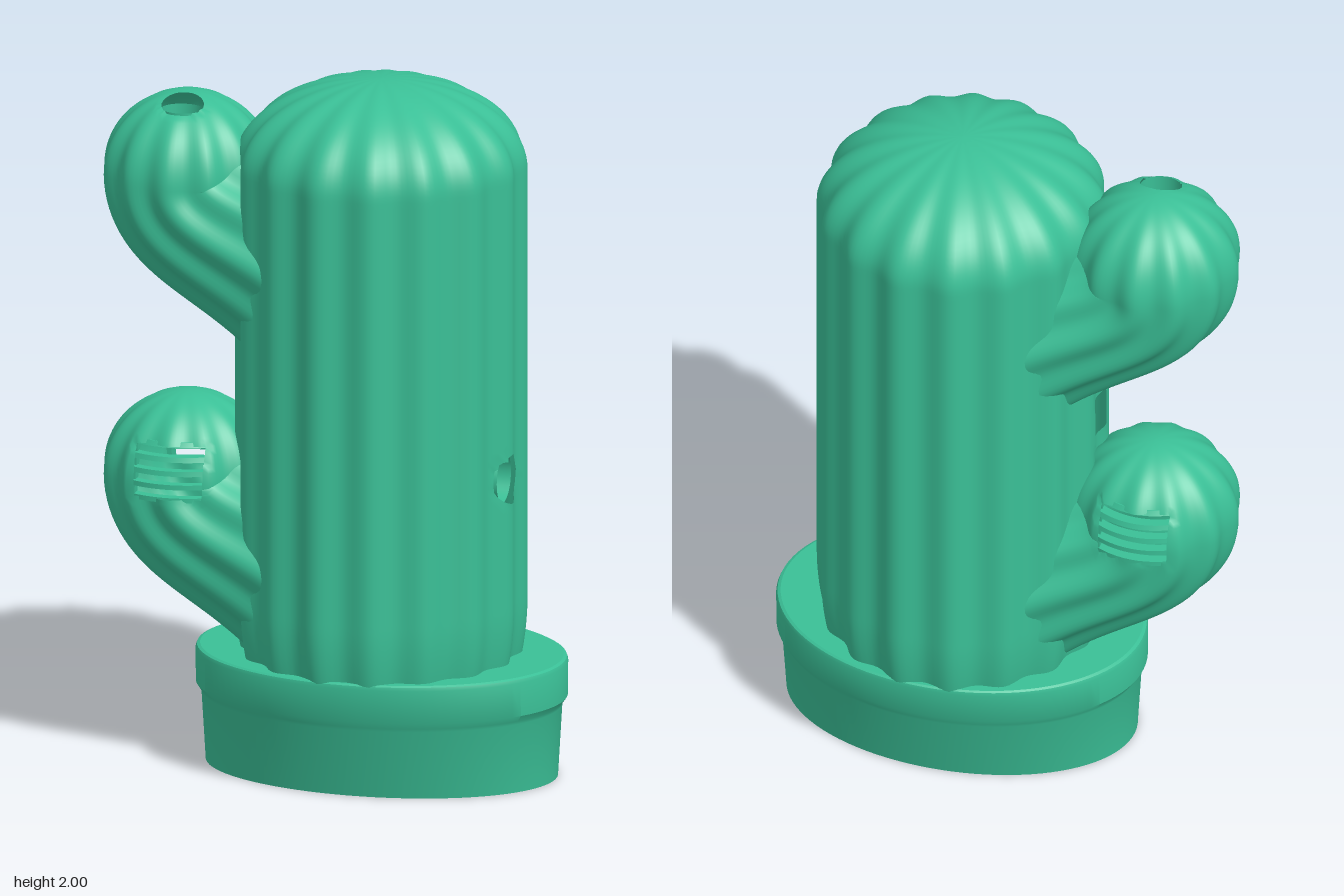
import * as THREE from 'three';
import { toCreasedNormals } from 'three/addons/utils/BufferGeometryUtils.js';

const AXIS = 0.13;           // x of the column and pot axis
const ARM_X = -0.433;        // x of the arm bulbs
const ARM_R = 0.23;

const green = new THREE.MeshStandardMaterial({ color: 0x3abf96, side: THREE.DoubleSide });
green.name = 'cactusGreen';

function mesh(name, geometry, parent) {
  const m = new THREE.Mesh(geometry, green);
  m.name = name;
  parent.add(m);
  return m;
}

// Distance measure of a point to a hole: 1 on its edge, below 1 inside it
function holeMeasure(h, p) {
  if (!h.side(p)) return Infinity;
  const a = (p[h.u] - h.cu) / h.ru, b = (p[h.v] - h.cv) / h.rv;
  return h.round ? Math.hypot(a, b) : Math.max(Math.abs(a), Math.abs(b));
}

// Closed-around grid surface with clean-edged holes; hidden triangles are dropped
function skin(rows, cols, point, holes = [], hidden = () => false) {
  const pts = [], pos = [], index = [];
  for (let i = 0; i <= rows; i++) {
    for (let j = 0; j < cols; j++) {
      const p = point(i / rows, (j / cols) * Math.PI * 2);
      for (const h of holes) {
        const m = holeMeasure(h, p);
        if (Math.abs(m - 1) * Math.min(h.ru, h.rv) < 0.009) {
          p[h.u] = h.cu + (p[h.u] - h.cu) / m;
          p[h.v] = h.cv + (p[h.v] - h.cv) / m;
        }
      }
      pts.push(p);
      pos.push(p.x, p.y, p.z);
    }
  }
  const add = (...t) => {
    const gone = holes.some(h => t.every(k => holeMeasure(h, pts[k]) < 1.001));
    if (!gone && !t.every(k => hidden(pts[k]))) index.push(...t);
  };
  for (let i = 0; i < rows; i++) {
    for (let j = 0; j < cols; j++) {
      const k = (j + 1) % cols;
      const a = i * cols + j, b = a + cols, c = (i + 1) * cols + k, d = i * cols + k;
      add(a, b, c);
      add(a, c, d);
    }
  }
  const g = new THREE.BufferGeometry();
  g.setAttribute('position', new THREE.Float32BufferAttribute(pos, 3));
  g.setIndex(index);
  g.computeVertexNormals();
  return g;
}

// Ribbed column with a flattened dome
function columnPoint(t, a) {
  let y, s = 1;
  if (t < 0.78) {
    y = 0.335 + (t / 0.78) * 1.415;
    s = 1 - 0.04 * Math.pow(Math.max(0, 1 - (y - 0.335) / 0.17), 2);
  } else {
    const e = ((t - 0.78) / 0.22) * Math.PI / 2;
    y = 1.75 + 0.25 * Math.sin(e);
    s = Math.max(Math.cos(e), 1e-4);
  }
  const r = s * (0.4 - 0.011 * Math.cos(16 * a));
  return new THREE.Vector3(AXIS + r * Math.cos(a), y, r * Math.sin(a));
}

// Ribbed arm: flared root, bend upwards, round end
function armPoint(cy) {
  const v = (x, y) => new THREE.Vector3(ARM_X + x, cy + y, 0);
  const spine = new THREE.CubicBezierCurve3(v(0.45, -0.3), v(0.2, -0.16), v(0, -0.13), v(0, 0));
  return (t, a) => {
    const s = Math.min(t / 0.6, 1);
    const e = Math.max(0, (t - 0.6) / 0.4) * Math.PI / 2;
    const c = spine.getPoint(s), d = spine.getTangent(s);
    const rib = 0.009 * Math.cos(12 * a) * Math.cos(e);
    const r = (ARM_R + 0.003 + rib + 0.09 * Math.pow(1 - s, 3)) * Math.max(Math.cos(e), 1e-4);
    const lift = ARM_R * Math.sin(e);
    return new THREE.Vector3(
      c.x + d.x * lift + d.y * r * Math.cos(a),
      c.y + d.y * lift - d.x * r * Math.cos(a),
      r * Math.sin(a));
  };
}

const insideColumn = p => Math.hypot(p.x - AXIS, p.z) < 0.355;

// Bar of the grille, bent to the round side of the bulb
function grilleBar(w, h, x, y, cy, sign) {
  const g = new THREE.BoxGeometry(w, h, 0.03, 10, 1, 1);
  g.translate(x, y, 0);
  const p = g.attributes.position;
  for (let i = 0; i < p.count; i++) {
    const dx = p.getX(i) - ARM_X, dy = Math.max(0, p.getY(i) - cy);
    const z = Math.sqrt(ARM_R * ARM_R - dx * dx - dy * dy) - 0.015;
    p.setZ(i, sign * z + p.getZ(i));
  }
  g.computeVertexNormals();
  return toCreasedNormals(g, 0.6);
}

export function createModel() {
  const model = new THREE.Group();
  model.name = 'cactusCase';

  // Oval pot with a raised rim, open below
  const pot = new THREE.Group();
  pot.name = 'pot';
  model.add(pot);
  const rings = [[0, 0.505, 0.32], [0.205, 0.515, 0.37], [0.215, 0.519, 0.373],
    [0.232, 0.531, 0.38], [0.33, 0.531, 0.393], [0.34, 0.527, 0.391], [0.344, 0.518, 0.386]];
  const potSkin = skin(rings.length - 1, 96, (t, a) => {
    const [y, rx, rz] = rings[Math.round(t * (rings.length - 1))];
    return new THREE.Vector3(AXIS + 0.002 + rx * Math.cos(a), y, rz * Math.sin(a));
  });
  mesh('potWall', toCreasedNormals(potSkin, 0.5), pot);

  // Deck around the column foot
  const oval = new THREE.Shape().absellipse(0, 0, 0.518, 0.386, 0, Math.PI * 2);
  oval.holes.push(new THREE.Path().absellipse(0, 0, 0.372, 0.372, 0, Math.PI * 2, true));
  const deck = mesh('potDeck', new THREE.ShapeGeometry(oval, 48), pot);
  deck.rotation.x = -Math.PI / 2;
  deck.position.set(AXIS + 0.002, 0.344, 0);

  // Column with a round side opening and a small slot between the arms
  const sideHole = { u: 'z', v: 'y', cu: 0.065, cv: 0.885, ru: 0.072, rv: 0.072, round: true, side: p => p.x > 0.4 };
  const slot = { u: 'z', v: 'y', cu: 0, cv: 1.095, ru: 0.055, rv: 0.065, side: p => p.x < -0.2 };
  mesh('column', skin(108, 160, columnPoint, [sideHole, slot]), model);
  const sideRim = mesh('sideOpeningRim', new THREE.CylinderGeometry(0.072, 0.072, 0.05, 32, 1, true), model);
  sideRim.rotation.z = Math.PI / 2;
  sideRim.position.set(0.481, 0.885, 0.065);

  // Upper arm with a round opening on top
  const topHole = { u: 'x', v: 'z', cu: -0.427, cv: 0.075, ru: 0.06, rv: 0.052, round: true, side: p => p.y > 1.8 };
  mesh('upperArm', skin(72, 120, armPoint(1.692), [topHole], insideColumn), model);
  const topRim = mesh('topOpeningRim', new THREE.CylinderGeometry(1, 1, 0.06, 32, 1, true), model);
  topRim.scale.set(0.06, 1, 0.052);
  topRim.position.set(-0.427, 1.858, 0.075);

  // Lower arm with a grille on both sides
  const cy = 0.822, gx = -0.43, gy = 0.866;
  const window = { u: 'x', v: 'y', cu: gx, cv: gy, ru: 0.1, rv: 0.073, side: p => Math.abs(p.z) > 0.12 };
  mesh('lowerArm', skin(72, 120, armPoint(cy), [window], insideColumn), model);
  for (const sign of [1, -1]) {
    const grille = new THREE.Group();
    grille.name = sign > 0 ? 'frontGrille' : 'backGrille';
    model.add(grille);
    for (let i = -2; i <= 2; i++) {
      mesh('grilleBar', grilleBar(0.22, 0.014, gx, gy + i * 0.038, cy, sign), grille);
    }
    for (const side of [-1, 1]) {
      mesh('grilleEnd', grilleBar(0.012, 0.16, gx + side * 0.106, gy, cy, sign), grille);
    }
  }
  return model;
}
